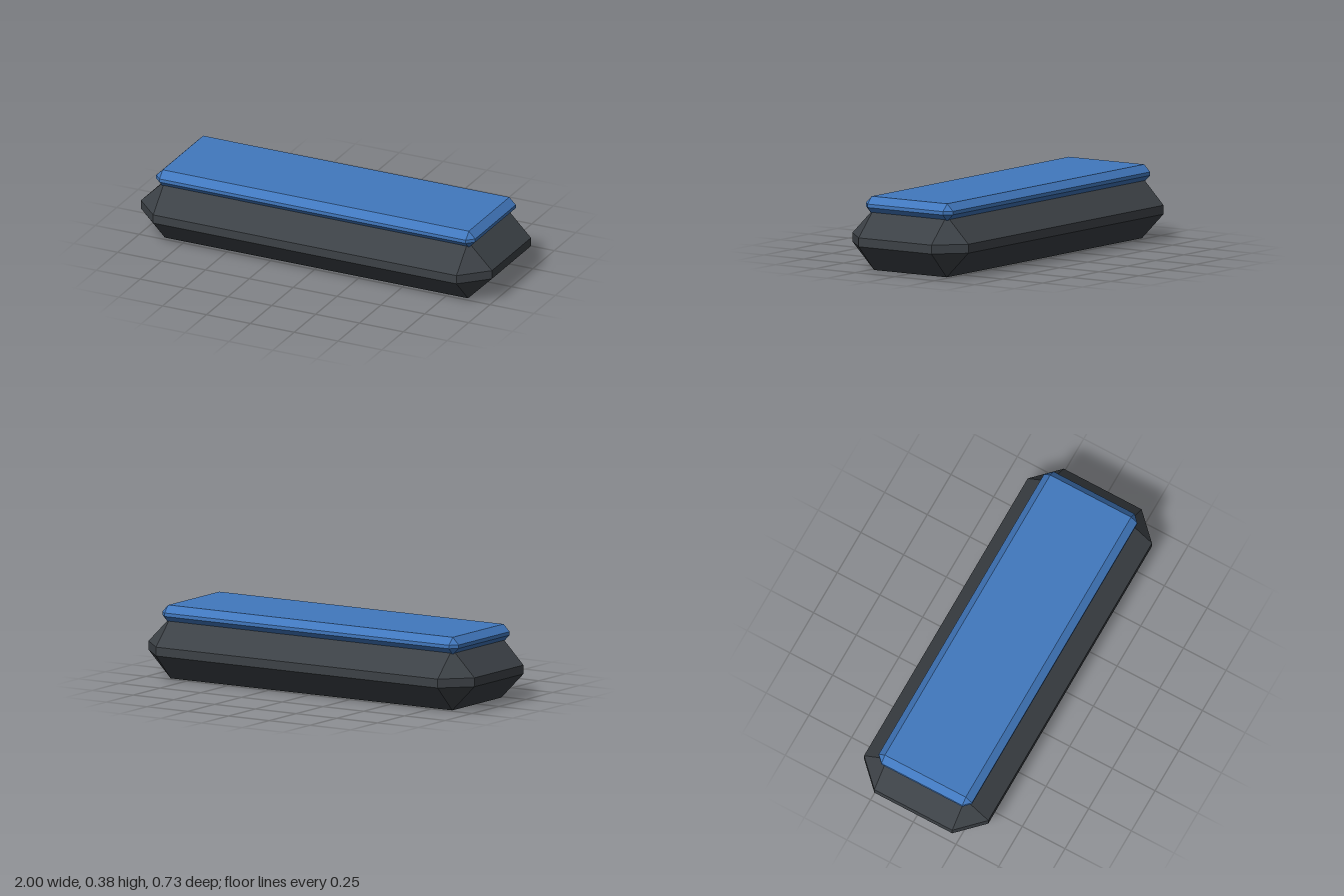
import * as THREE from 'three';
import { ConvexGeometry } from 'three/addons/geometries/ConvexGeometry.js';

// Box with every edge bevelled flat: each corner becomes three points, one per face
function bevelledBox(name, halfX, halfY, halfZ, bevel, centreY, material) {
  const points = [];
  for (const sx of [-1, 1]) for (const sy of [-1, 1]) for (const sz of [-1, 1]) {
    for (let axis = 0; axis < 3; axis++) {
      const inset = (i) => (i === axis ? 0 : bevel);
      points.push(new THREE.Vector3(
        sx * (halfX - inset(0)),
        sy * (halfY - inset(1)),
        sz * (halfZ - inset(2))
      ));
    }
  }
  const mesh = new THREE.Mesh(new ConvexGeometry(points), material);
  mesh.name = name;
  mesh.position.y = centreY;
  return mesh;
}

export function createModel() {
  const charcoal = new THREE.MeshStandardMaterial({ color: 0x3c4146, flatShading: true });
  charcoal.name = 'charcoal';
  const blue = new THREE.MeshStandardMaterial({ color: 0x4178be, flatShading: true });
  blue.name = 'blue';

  const group = new THREE.Group();
  group.name = 'bevelledSlab';
  // Heavy base with wide bevels
  group.add(bevelledBox('base', 1, 0.159, 0.364, 0.136, 0.159, charcoal));
  // Thin top pad, sunk slightly into the base
  group.add(bevelledBox('topPad', 0.909, 0.0455, 0.273, 0.0364, 0.3365, blue));
  return group;
}
